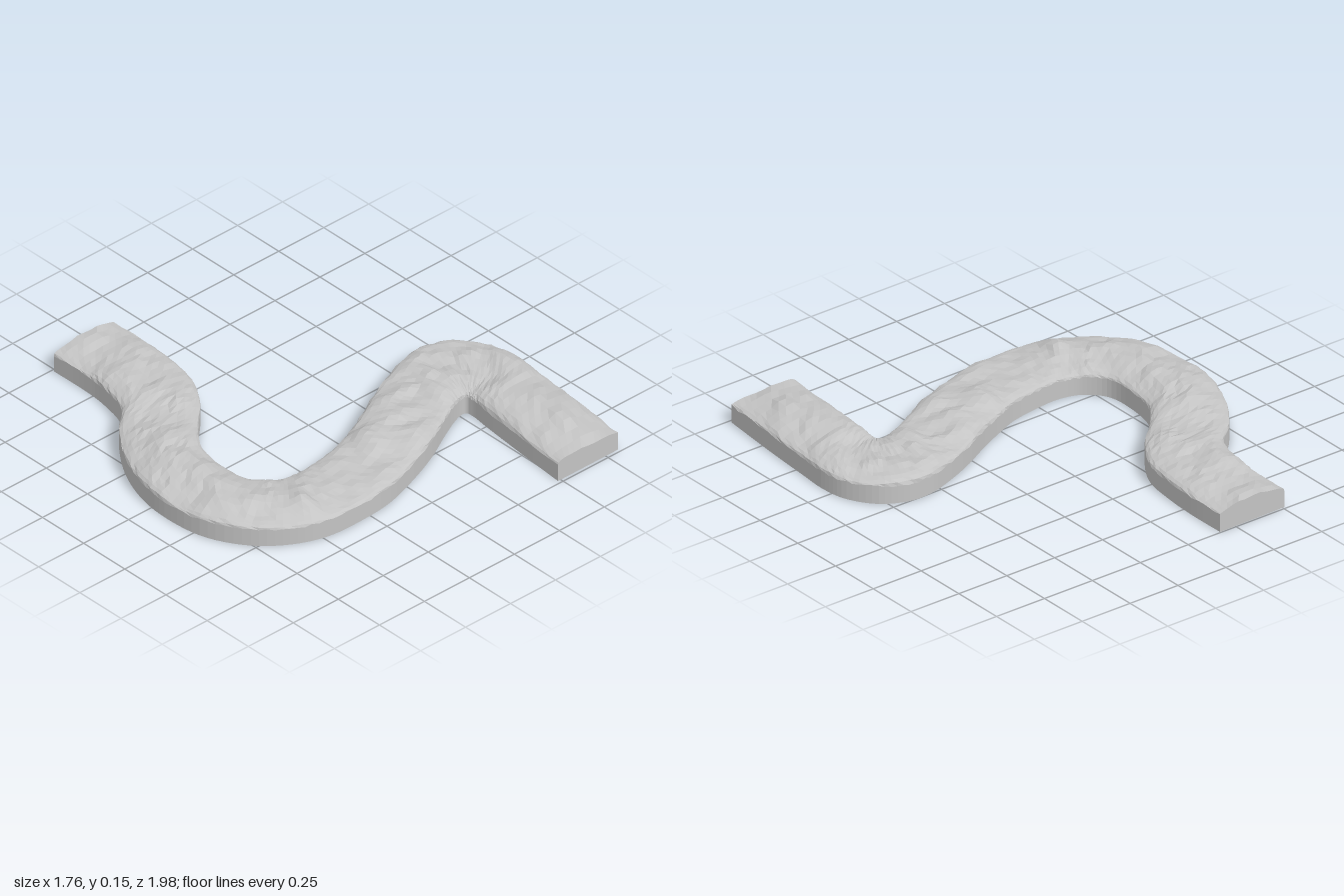
import * as THREE from 'three';

// Matching points on the two edges of the winding path, back to front: [x, z]
const EDGE_A = [
  [-0.51, -0.99], [-0.51, -0.8], [-0.52, -0.68], [-0.565, -0.52], [-0.67, -0.42], [-0.79, -0.25],
  [-0.86, -0.07], [-0.88, 0.1], [-0.855, 0.3], [-0.76, 0.47], [-0.63, 0.58], [-0.48, 0.64],
  [-0.3, 0.65], [-0.13, 0.635], [0.05, 0.58], [0.22, 0.51], [0.35, 0.44], [0.45, 0.39],
  [0.5, 0.372], [0.527, 0.37], [0.538, 0.38], [0.54, 0.395], [0.54, 0.42], [0.53, 0.5],
  [0.51, 0.7], [0.485, 0.985],
];
const EDGE_B = [
  [-0.17, -0.995], [-0.17, -0.8], [-0.18, -0.65], [-0.21, -0.48], [-0.3, -0.33], [-0.43, -0.2],
  [-0.51, -0.09], [-0.54, 0.06], [-0.53, 0.2], [-0.46, 0.28], [-0.4, 0.305], [-0.33, 0.313],
  [-0.24, 0.305], [-0.1, 0.28], [0, 0.24], [0.13, 0.18], [0.28, 0.1], [0.42, 0.04],
  [0.55, 0], [0.66, 0], [0.78, 0.06], [0.86, 0.18], [0.88, 0.3], [0.87, 0.45],
  [0.85, 0.7], [0.82, 0.985],
];
const ROWS = 130;
const COLS = 14;
const RIM = 0.08;

function hash(i, j) {
  const s = Math.sin(i * 127.1 + j * 311.7) * 43758.5453;
  return s - Math.floor(s);
}

// Smooth value noise in -0.5..0.5
function noise(x, z) {
  const i = Math.floor(x), j = Math.floor(z);
  const u = THREE.MathUtils.smoothstep(x - i, 0, 1);
  const v = THREE.MathUtils.smoothstep(z - j, 0, 1);
  const a = THREE.MathUtils.lerp(hash(i, j), hash(i + 1, j), u);
  const b = THREE.MathUtils.lerp(hash(i, j + 1), hash(i + 1, j + 1), u);
  return THREE.MathUtils.lerp(a, b, v) - 0.5;
}

function edgeCurve(points) {
  return new THREE.CatmullRomCurve3(points.map(([x, z]) => new THREE.Vector3(x, 0, z)));
}

// Skin a list of equal-length cross-sections
function loft(sections) {
  const n = sections[0].length;
  const index = [];
  for (let r = 0; r < sections.length - 1; r++) {
    for (let c = 0; c < n - 1; c++) {
      const a = r * n + c, b = a + n;
      index.push(a, b, a + 1, a + 1, b, b + 1);
    }
  }
  const geometry = new THREE.BufferGeometry().setFromPoints(sections.flat());
  geometry.setIndex(index);
  geometry.computeVertexNormals();
  return geometry;
}

export function createModel() {
  const stone = new THREE.MeshStandardMaterial({ color: 0xc4c4c4, flatShading: true });
  stone.name = 'grey stone';
  const group = new THREE.Group();
  group.name = 'windingPath';
  const add = (name, geometry) => {
    const mesh = new THREE.Mesh(geometry, stone);
    mesh.name = name;
    group.add(mesh);
  };

  const curveA = edgeCurve(EDGE_A), curveB = edgeCurve(EDGE_B);
  const tops = [], wallsA = [], wallsB = [], bases = [];
  for (let r = 0; r <= ROWS; r++) {
    const t = r / ROWS;
    const a = curveA.getPoint(t), b = curveB.getPoint(t);
    const endDrop = THREE.MathUtils.smoothstep(Math.min(t, 1 - t), 0, 0.06);
    const row = [];
    for (let c = 0; c <= COLS; c++) {
      // Columns crowd towards the edges to shape the rounded shoulders
      const v = 0.5 - 0.5 * Math.cos((Math.PI * c) / COLS);
      const inner = c > 0 && c < COLS;
      const jitter = inner && r > 0 && r < ROWS ? (hash(r + 7, c) - 0.5) * 0.02 : 0;
      const p = a.clone().lerp(b, v + jitter);
      const shoulder = Math.pow(Math.sin(Math.PI * v), 0.45);
      const bumps = 0.045 * noise(p.x * 6 + 20, p.z * 6 + 20)
        + 0.022 * noise(p.x * 16 + 50, p.z * 16 + 50)
        + 0.006 * (hash(r, c + 40) - 0.5);
      p.y = RIM + shoulder * (0.028 + 0.014 * endDrop + bumps * (0.6 + 0.4 * endDrop));
      if (!inner) p.y = RIM + 0.012 * (hash(r, c) - 0.5);
      row.push(p);
    }
    tops.push(row);
    wallsA.push([a, row[0]]);
    wallsB.push([row[COLS], b]);
    bases.push([b, a]);
  }

  // Rough upper surface, upright sides and flat underside
  add('bumpyTop', loft(tops));
  add('rightSideWall', loft(wallsA));
  add('leftSideWall', loft(wallsB));
  add('base', loft(bases));

  // End faces between the ground and the top profile
  const endFace = (row) => loft([row, row.map((p) => new THREE.Vector3(p.x, 0, p.z))]);
  add('frontEnd', endFace(tops[ROWS]));
  add('backEnd', endFace([...tops[0]].reverse()));
  return group;
}
